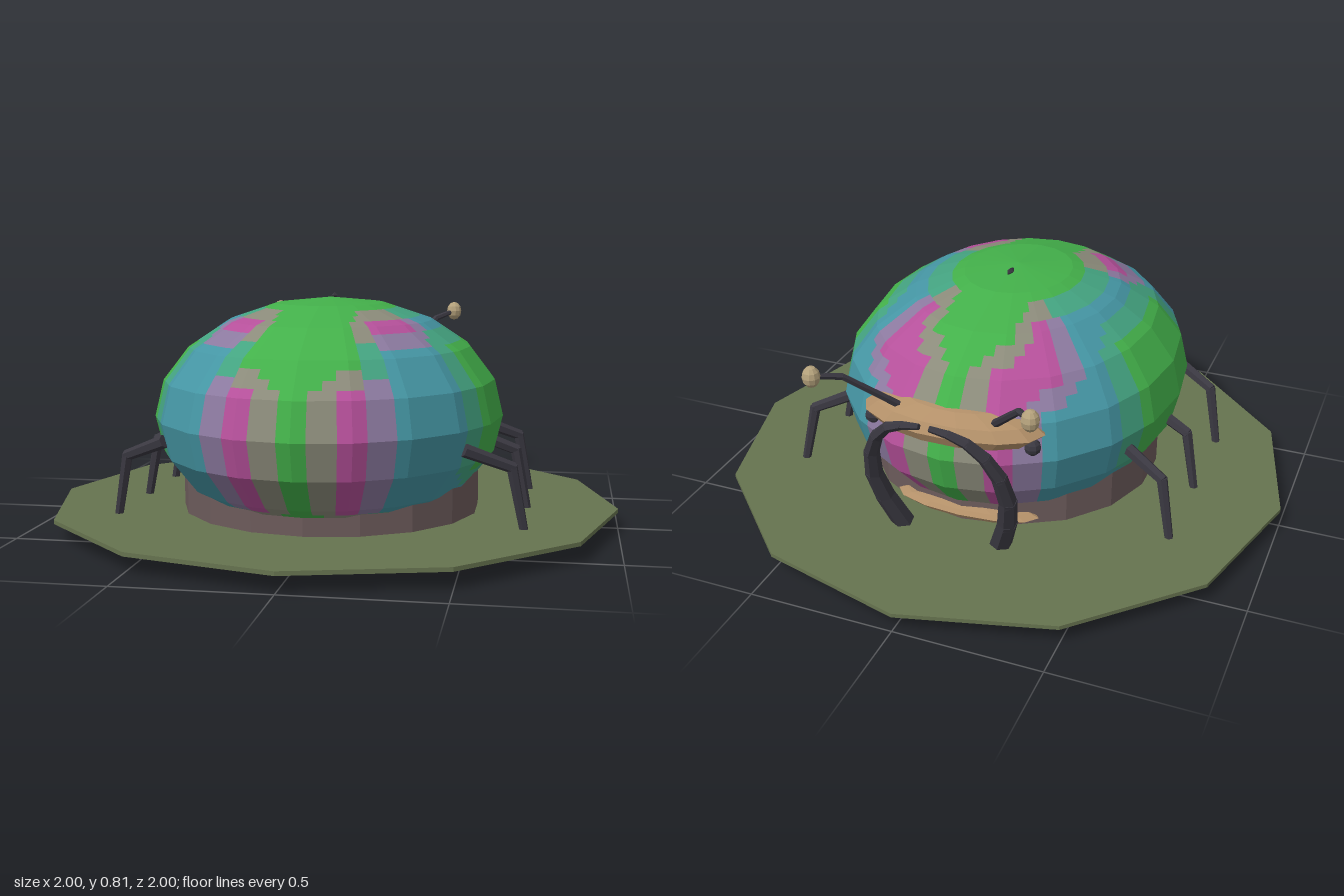
import * as THREE from 'three';

const mat = (color) => new THREE.MeshStandardMaterial({ color, flatShading: true });
const dark = mat(0x3a3841), tan = mat(0xb39069), pale = mat(0xb5a27c);
const V = (x, y, z) => new THREE.Vector3(x, y, z);

function add(parent, name, geometry, material, pos = [0, 0, 0], scale = [1, 1, 1]) {
  const mesh = new THREE.Mesh(geometry, material);
  mesh.name = name;
  mesh.position.set(...pos);
  mesh.scale.set(...scale);
  parent.add(mesh);
  return mesh;
}

// Jointed limb: one tapered, capped cylinder per stretch of the path
function limb(name, points, r0, r1, sides = 6) {
  const group = new THREE.Group();
  group.name = name;
  const n = points.length - 1;
  for (let i = 0; i < n; i++) {
    const a = points[i], b = points[i + 1], dir = b.clone().sub(a);
    const ra = THREE.MathUtils.lerp(r0, r1, i / n), rb = THREE.MathUtils.lerp(r0, r1, (i + 1) / n);
    const part = add(group, name + 'Segment', new THREE.CylinderGeometry(rb, ra, dir.length() + rb * 0.6, sides), dark);
    part.position.copy(a).add(b).multiplyScalar(0.5);
    part.quaternion.setFromUnitVectors(V(0, 1, 0), dir.normalize());
  }
  return group;
}

// Faceted dome shell, sorted into colour patches with half-tone borders
function makeShell() {
  const shell = new THREE.Group();
  shell.name = 'shell';
  const palette = { G: 0x43b04a, T: 0x4596a4, M: 0xb5509a };
  const labels = { G: 'Green', T: 'Teal', M: 'Magenta' };
  // Rows run from crown to belly, columns from the rear around to the head
  const pattern = [
    'GGGGGGGGGGG', 'GGGGGGGGGGG', 'GGMMTTTTMGG', 'GGTTGGGTMMG', 'GMTTGGGTTMG', 'GMTTGGGTTMG',
    'GMTTGGGTTMG', 'GMTTTTTTTMG', 'GGGTTTTTGGG', 'GGGGGGGGGGG', 'GGGGGGGGGGG',
  ];
  const code = (u, v) => pattern[v][u % 20 > 10 ? 20 - (u % 20) : u % 20];
  const point = (u, v) => {
    const phi = (u * Math.PI) / 10, theta = (v * Math.PI) / 10;
    return V(0.6 * Math.sin(theta) * Math.sin(phi), 0.4 * Math.cos(theta), 0.7 * Math.sin(theta) * Math.cos(phi));
  };
  const patches = {};
  const N = 4;
  for (let v = 0; v < 10; v++) for (let u = 0; u < 20; u++) {
    const c = [[u, v], [u + 1, v], [u, v + 1], [u + 1, v + 1]];
    const weights = (s, t) => [(1 - s) * (1 - t), s * (1 - t), (1 - s) * t, s * t];
    const onFacet = (s, t) => {
      const p = V(0, 0, 0);
      weights(s, t).forEach((w, k) => p.addScaledVector(point(...c[k]), w));
      return p.toArray();
    };
    for (let i = 0; i < N; i++) for (let j = 0; j < N; j++) {
      const mix = { G: 0, T: 0, M: 0 };
      weights((i + 0.5) / N, (j + 0.5) / N).forEach((w, k) => { mix[code(...c[k])] += w; });
      const order = Object.keys(mix).sort((a, b) => mix[b] - mix[a]);
      const key = mix[order[0]] > 0.75 ? order[0] : order.slice(0, 2).sort().join('');
      const a = onFacet(i / N, j / N), b = onFacet(i / N, (j + 1) / N);
      const d = onFacet((i + 1) / N, (j + 1) / N), e = onFacet((i + 1) / N, j / N);
      const list = (patches[key] ??= []);
      if (v > 0 || j > 0) list.push(...a, ...d, ...e);
      if (v < 9 || j < N - 1) list.push(...a, ...b, ...d);
    }
  }
  for (const [key, list] of Object.entries(patches)) {
    const geometry = new THREE.BufferGeometry();
    geometry.setAttribute('position', new THREE.Float32BufferAttribute(list, 3));
    geometry.computeVertexNormals();
    const color = new THREE.Color(palette[key[0]]);
    if (key[1]) color.lerp(new THREE.Color(palette[key[1]]), 0.5);
    add(shell, 'shell' + [...key].map((k) => labels[k]).join(''), geometry, mat(color));
  }
  shell.position.set(0, 0.4, 0.08);
  return shell;
}

export function createModel() {
  const model = new THREE.Group();
  model.name = 'beetle';

  // Ground disc and the drum under the shell
  add(model, 'groundDisc', new THREE.CylinderGeometry(1, 1, 0.014, 12), mat(0x66734f), [0, 0.062, 0]);
  add(model, 'bodyDrum', new THREE.CylinderGeometry(0.52, 0.52, 0.22, 18), mat(0x6c5b5b), [0, 0.175, 0.065]);
  add(model, 'lowerLip', new THREE.SphereGeometry(1, 12, 6), tan, [0, 0.1, -0.4], [0.26, 0.03, 0.08]);

  // Shell with a tiny crown nub
  model.add(makeShell());
  add(model, 'crownNub', new THREE.OctahedronGeometry(1), dark, [0, 0.8, 0], [0.012, 0.012, 0.03]);

  // Head plate
  add(model, 'headPlate', new THREE.SphereGeometry(1, 14, 6), tan, [0, 0.495, -0.5], [0.315, 0.07, 0.14]);

  // Paired parts
  for (const s of [1, -1]) {
    const side = s > 0 ? 'left' : 'right';
    add(model, side + 'Eye', new THREE.SphereGeometry(0.028, 8, 6), dark, [s * 0.28, 0.455, -0.52]);

    model.add(limb(side + 'Antenna',
      [V(s * 0.17, 0.54, -0.56), V(s * 0.295, 0.675, -0.68), V(s * 0.36, 0.7, -0.755)], 0.014, 0.009));
    add(model, side + 'AntennaTip', new THREE.SphereGeometry(1, 10, 6), pale,
      [s * 0.36, 0.7, -0.757], [0.029, 0.036, 0.029]);

    // Tall curved pincer rising from the ground in front of the head
    const arc = new THREE.CatmullRomCurve3([
      V(s * 0.18, 0.075, -0.54), V(s * 0.235, 0.27, -0.61), V(s * 0.205, 0.45, -0.67),
      V(s * 0.12, 0.55, -0.71), V(s * 0.02, 0.575, -0.72),
    ]);
    model.add(limb(side + 'Pincer', arc.getPoints(7), 0.038, 0.01));

    // Three bent legs per side
    for (const [name, z] of [['Front', -0.22], ['Middle', 0.075], ['Rear', 0.44]]) {
      const lean = name === 'Middle' ? 0.6 : 1;
      model.add(limb(side + name + 'Leg',
        [V(s * 0.5, 0.335, z), V(s * 0.645, 0.275, z - 0.06 * lean), V(s * 0.685, 0.07, z - 0.08 * lean)], 0.023, 0.015));
    }
  }
  return model;
}
